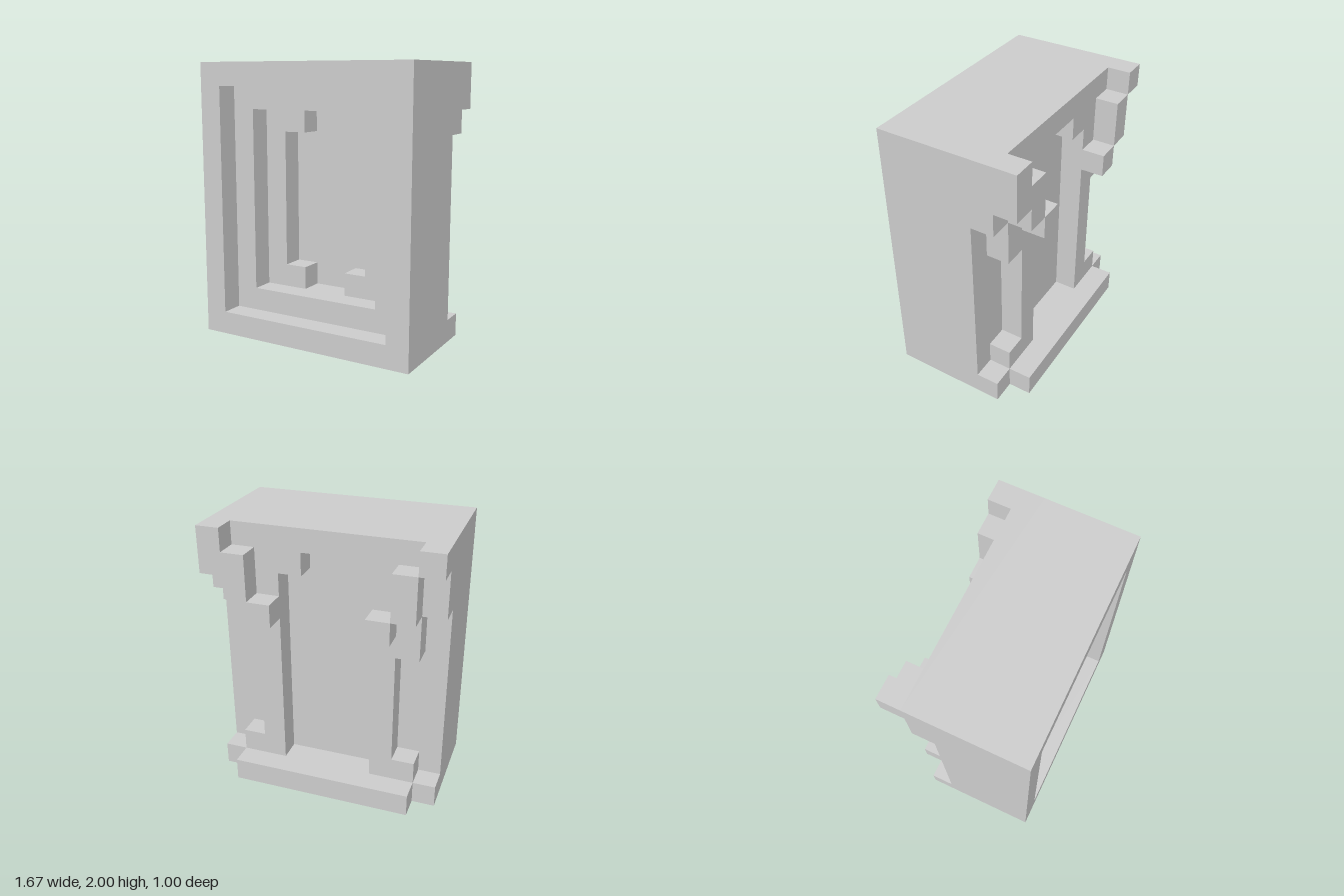
import * as THREE from 'three';

const U = 1 / 6; // one block of the grid
const material = new THREE.MeshStandardMaterial({ color: 0xcccccc, flatShading: true });

// Closed outline from its +x half, mirrored to -x
function mirrored(half) {
  const pts = half.map(([x, y]) => new THREE.Vector2(x * U, y * U));
  const other = half.map(([x, y]) => new THREE.Vector2(-x * U, y * U)).reverse();
  return pts.concat(other);
}

// One-block-thick slab whose back lies at grid depth z
function slab(name, z, outline, hole) {
  const shape = new THREE.Shape(mirrored(outline));
  if (hole) shape.holes.push(new THREE.Path(mirrored(hole)));
  const geometry = new THREE.ExtrudeGeometry(shape, { depth: U, bevelEnabled: false });
  geometry.translate(0, 0, z * U);
  const mesh = new THREE.Mesh(geometry, material);
  mesh.name = name;
  return mesh;
}

// Block in the rearmost layer, given by its grid bounds
function rearBlock(name, x0, x1, y0, y1) {
  const mesh = new THREE.Mesh(new THREE.BoxGeometry((x1 - x0) * U, (y1 - y0) * U, U), material);
  mesh.position.set((x0 + x1) / 2 * U, (y0 + y1) / 2 * U, -2.5 * U);
  mesh.name = name;
  return mesh;
}

export function createModel() {
  const model = new THREE.Group();
  model.name = 'steppedFrame';
  const full = [[5, 0], [5, 12]];

  // Front frames stepping inwards to the back panel
  model.add(slab('outerFrame', 2, full, [[4, 1], [4, 11]]));
  model.add(slab('middleFrame', 1, full, [[3, 2], [3, 10]]));
  model.add(slab('innerFrame', 0, full, [[1, 2], [1, 3], [2, 3], [2, 9], [1, 9], [1, 10]]));
  model.add(slab('backPanel', -1, full));

  // Rear arch with pillars, brackets and base
  model.add(slab('rearArch', -2,
    [[5, 0], [5, 1], [4, 1], [4, 2], [3, 2], [3, 7], [4, 7], [4, 9], [5, 9], [5, 12]],
    [[2, 1], [2, 10], [1, 10], [1, 11]]));

  // Rear plinth and stepped corner blocks; the left top corner is taller
  model.add(rearBlock('rearPlinth', -4, 4, 0, 1));
  model.add(rearBlock('leftTopCorner', 4, 5, 10, 12));
  model.add(rearBlock('rightTopCorner', -5, -4, 11, 12));
  for (const [side, s] of [['left', 1], ['right', -1]]) {
    const span = (a, b) => (s > 0 ? [a, b] : [-b, -a]);
    model.add(rearBlock(side + 'UpperBracket', ...span(3, 4), 9, 11));
    model.add(rearBlock(side + 'LowerBracket', ...span(2, 3), 8, 9));
  }
  return model;
}
